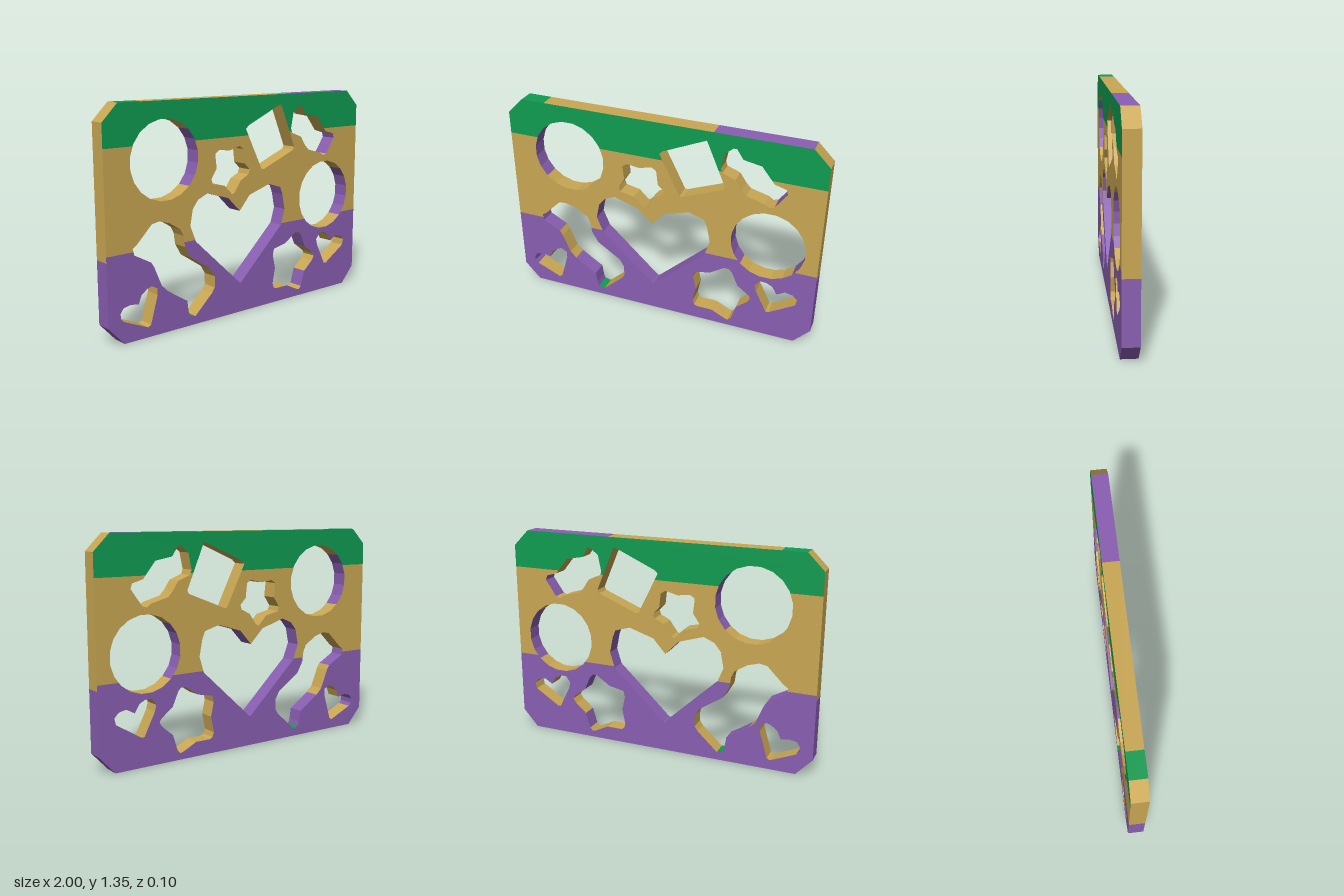
import * as THREE from 'three';

const DEPTH = 0.05; // half thickness of the board

// Outlines are [x, y, x, y, ...] in hundredths; holes run clockwise.
// The letters colour the wall of each edge: T tan, P purple, G green (T if missing).
const outer = [-90, 0, 16, 0, 90, 0, 100, 11, 100, 48.5, 100, 125, 90, 135, 33, 135,
  -75, 135, -90, 135, -100, 125, -100, 48.5, -100, 11];
const smallStar = [-21, 104, -13, 103, -5, 105, -2, 103, -1, 94, 3, 90, 2, 87, -4, 84,
  -9, 77, -11, 76, -17, 82, -26, 84, -27, 87, -23, 93, -24, 102];
const square = [29, 129, 30, 127, 41, 101, 40, 99, 15, 89, 13, 89, 0, 115, 2, 117];
const smallWave = [45, 127, 47, 127, 51, 121, 62, 119, 66, 114, 70, 109, 77, 107, 78, 104,
  71, 94, 68, 93, 65, 95, 54, 98, 51, 101, 47, 107, 39, 110, 38, 113, 40, 123];
const bigHeart = [-30, 79, -14, 74, -5, 65, 3, 74, 19, 79, 29, 76, 31, 71, 33, 61, 30, 51,
  -4, 19, -5, 19, -39, 51, -43, 61, -41, 71, -37, 76];
const bigWave = [-70, 66, -65, 67, -58, 65, -50, 60, -48, 56, -47, 49, -43, 42, -28, 32,
  -25, 27, -25, 20, -27, 17, -40, 5, -44, 6, -45, 9, -46, 16, -51, 19, -60, 25, -64, 29,
  -69, 41, -71, 44, -82, 50, -83, 54, -80, 56];
const leftHeart = [-92, 18, -90, 21, -85, 22, -80, 21, -78, 26, -74, 29, -71, 30, -67, 28,
  -67, 24, -72, 7, -74, 6, -90, 13, -92, 15];
const bigStar = [43, 44, 46, 44, 48, 42, 52, 33, 60, 27, 61, 25, 59, 22, 52, 16, 49, 6,
  47, 4, 44, 5, 36, 9, 26, 9, 24, 10, 23, 13, 25, 23, 23, 32, 24, 36, 34, 38];
const rightHeart = [66, 40, 70, 40, 74, 38, 77, 33, 82, 36, 87, 35, 90, 32, 89, 28,
  73, 18, 71, 18, 64, 32, 63, 36];

const toPoints = (flat) => {
  const pts = [];
  for (let i = 0; i < flat.length; i += 2) pts.push(new THREE.Vector2(flat[i] / 100, flat[i + 1] / 100));
  return pts;
};

// Round hole: purple walls at the sides, tan above and below
function roundHole(name, x, y, r, sides = 20) {
  const pts = [];
  let walls = '';
  for (let i = 0; i < sides; i++) {
    const a = -((i + 0.5) / sides) * Math.PI * 2;
    pts.push(new THREE.Vector2(x + r * Math.cos(a), y + r * Math.sin(a)));
    walls += Math.abs(Math.cos(-((i + 1) / sides) * Math.PI * 2)) > 0.75 ? 'P' : 'T';
  }
  return { name, pts, walls };
}

// Keeps the part of a polygon where sign * (y - level) >= 0
function clip(poly, level, sign) {
  const out = [];
  poly.forEach((a, i) => {
    const b = poly[(i + 1) % poly.length];
    const da = sign * (a.y - level), db = sign * (b.y - level);
    if (da >= 0) out.push(a);
    if (da * db < 0) out.push(a.clone().lerp(b, da / (da - db)));
  });
  return out;
}

function makeMesh(name, positions, material) {
  const geometry = new THREE.BufferGeometry();
  geometry.setAttribute('position', new THREE.Float32BufferAttribute(positions, 3));
  geometry.computeVertexNormals();
  const mesh = new THREE.Mesh(geometry, material);
  mesh.name = name;
  return mesh;
}

export function createModel() {
  const model = new THREE.Group();
  model.name = 'cutoutBoard';

  const material = (name, color) => {
    const m = new THREE.MeshStandardMaterial({ color });
    m.name = name;
    return m;
  };
  const colours = {
    T: material('tan', 0xc9a753),
    P: material('purple', 0x895eb1),
    G: material('green', 0x0f9c51),
  };

  const rim = { name: 'outerEdge', pts: toPoints(outer), walls: 'TPPPTTPTGTTPP' };
  const hole = (name, flat, walls = '') => ({ name, pts: toPoints(flat), walls });
  const holes = [
    roundHole('upperRoundHole', -0.6, 1.015, 0.234),
    roundHole('lowerRoundHole', 0.69, 0.663, 0.229),
    hole('smallStarHole', smallStar),
    hole('squareHole', square),
    hole('smallWaveHole', smallWave, 'TTTTTTPP'),
    hole('bigHeartHole', bigHeart, 'P'.repeat(15)),
    hole('bigWaveHole', bigWave, 'TTTTTTTTTTTGPPPPTTTPPTT'),
    hole('leftHeartHole', leftHeart, 'PTTTTTTTTTTPP'),
    hole('bigStarHole', bigStar, 'TTPTTTTP'),
    hole('rightHeartHole', rightHeart),
  ];

  // Front and back faces, cut into three colour bands
  const all = [rim, ...holes].flatMap((c) => c.pts);
  const faces = THREE.ShapeUtils.triangulateShape(rim.pts, holes.map((h) => h.pts));
  const bands = [
    ['lowerBand', -1, 0.52, 'P'],
    ['middleBand', 0.52, 1.11, 'T'],
    ['upperBand', 1.11, 2, 'G'],
  ];
  for (const [name, low, high, colour] of bands) {
    const positions = [];
    for (const face of faces) {
      const poly = clip(clip(face.map((i) => all[i]), low, 1), high, -1);
      for (let i = 1; i + 1 < poly.length; i++) {
        const [a, b, c] = [poly[0], poly[i], poly[i + 1]];
        for (const p of [a, b, c]) positions.push(p.x, p.y, DEPTH);
        for (const p of [a, c, b]) positions.push(p.x, p.y, -DEPTH);
      }
    }
    model.add(makeMesh(name, positions, colours[colour]));
  }

  // Walls round the outside and inside each hole, one mesh per colour
  for (const { name, pts, walls } of [rim, ...holes]) {
    const group = new THREE.Group();
    group.name = name;
    const byColour = { T: [], P: [], G: [] };
    pts.forEach((a, i) => {
      const b = pts[(i + 1) % pts.length];
      byColour[walls[i] || 'T'].push(
        a.x, a.y, DEPTH, a.x, a.y, -DEPTH, b.x, b.y, -DEPTH,
        a.x, a.y, DEPTH, b.x, b.y, -DEPTH, b.x, b.y, DEPTH);
    });
    for (const key of Object.keys(byColour)) {
      if (byColour[key].length) group.add(makeMesh(`${name} ${colours[key].name} wall`, byColour[key], colours[key]));
    }
    model.add(group);
  }
  return model;
}
